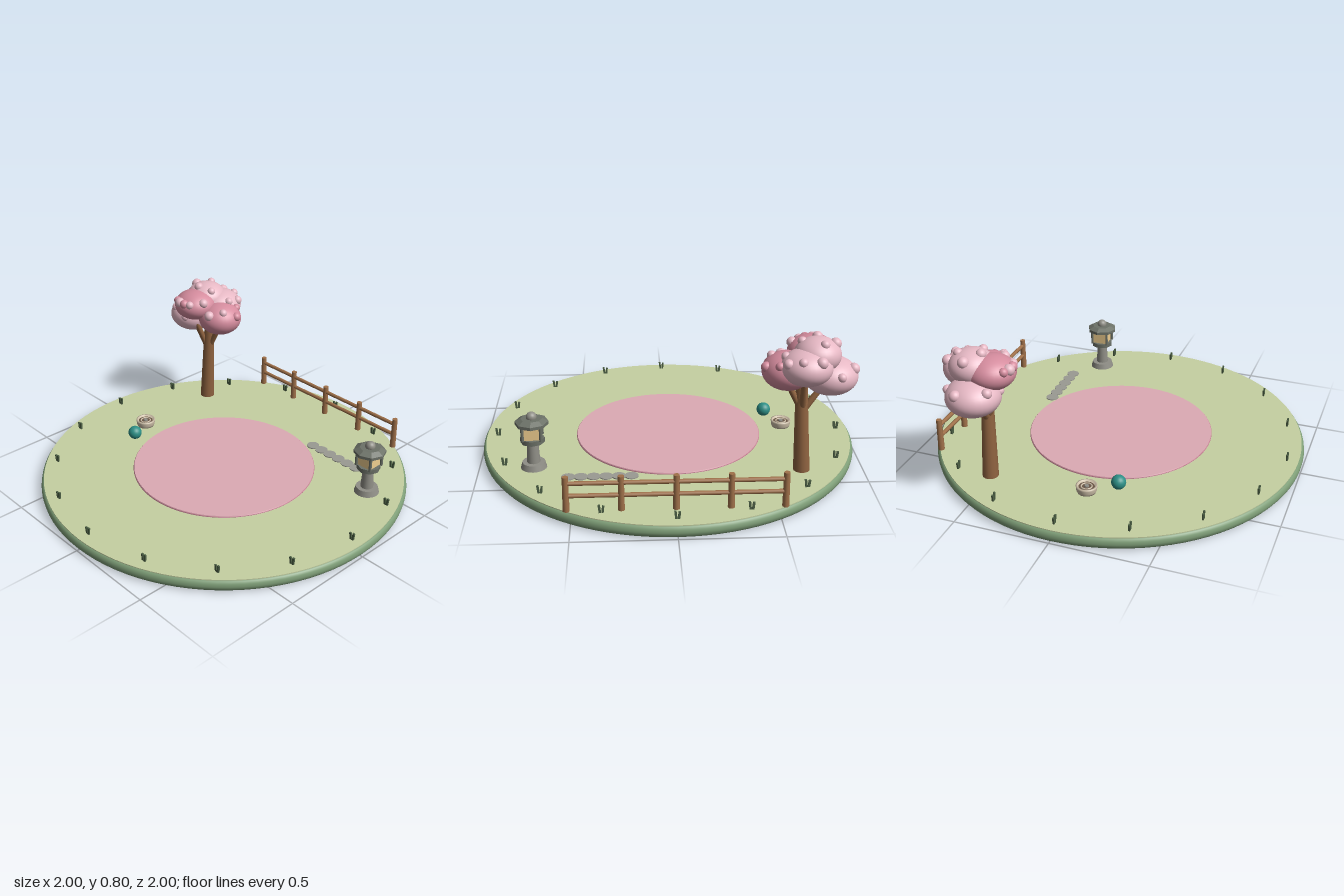
import * as THREE from 'three';

const C = {
  rim: 0x7f9f78, grass: 0xc6d0a2, pink: 0xdcaab4, pinkEdge: 0xc98797, wood: 0xa0714a, bark: 0x8f6340,
  blossomLight: 0xe6b8c4, blossomDark: 0xd58c9e, stone: 0x8f8e86, roof: 0x6d7268, glow: 0xf0cf90,
  tuft: 0x4f6347, teal: 0x2c8f86, cream: 0xcdbfa8, brown: 0x6b5646, path: 0x9a9a92,
};
const TOP = 0.066;
const mats = {};
const mat = (name) => (mats[name] ??= new THREE.MeshStandardMaterial({ color: C[name] }));

function add(parent, name, geo, color, x = 0, y = 0, z = 0) {
  const m = new THREE.Mesh(geo, mat(color));
  m.name = name;
  m.position.set(x, y, z);
  parent.add(m);
  return m;
}
function group(parent, name, x = 0, y = 0, z = 0) {
  const g = new THREE.Group();
  g.name = name;
  g.position.set(x, y, z);
  parent.add(g);
  return g;
}
const cyl = (rTop, rBottom, h, n = 24) => new THREE.CylinderGeometry(rTop, rBottom, h, n);
const ball = (r) => new THREE.SphereGeometry(r, 20, 14);

// Tapered limb between two points
function limb(parent, name, a, b, rA, rB, color) {
  const from = new THREE.Vector3(...a), to = new THREE.Vector3(...b);
  const dir = to.clone().sub(from);
  const m = add(parent, name, cyl(rB, rA, dir.length(), 14), color);
  m.position.copy(from).add(to).multiplyScalar(0.5);
  m.quaternion.setFromUnitVectors(new THREE.Vector3(0, 1, 0), dir.normalize());
  return m;
}

function buildGround(root) {
  const g = group(root, 'ground');
  // Rounded slab
  const pts = [[0, 0], [0.975, 0], [0.988, 0.006], [0.997, 0.018], [1, 0.033],
    [0.997, 0.048], [0.99, 0.059], [0.98, 0.064], [0, 0.064]];
  add(g, 'slab', new THREE.LatheGeometry(pts.map((p) => new THREE.Vector2(...p)), 96), 'rim');
  add(g, 'lawn', cyl(0.985, 0.985, 0.01, 96), 'grass', 0, TOP - 0.005, 0);
  add(g, 'petalClearing', cyl(0.495, 0.5, 0.012, 80), 'pink', 0, 0.069, 0);
  const edge = add(g, 'clearingEdge', new THREE.TorusGeometry(0.493, 0.006, 8, 80), 'pinkEdge', 0, 0.0685, 0);
  edge.rotation.x = Math.PI / 2;
}

function buildFence(root) {
  const g = group(root, 'fence', 0, 0, -0.83);
  for (let i = -2; i <= 2; i++) {
    add(g, 'fencePost', cyl(0.015, 0.017, 0.18, 10), 'wood', i * 0.259, 0.155, 0);
  }
  for (const y of [0.145, 0.21]) {
    const rail = add(g, 'fenceRail', cyl(0.011, 0.011, 1.05, 10), 'wood', 0, y, 0);
    rail.rotation.z = Math.PI / 2;
  }
}

function buildTree(root) {
  const g = group(root, 'tree');
  limb(g, 'trunk', [-0.655, 0.06, -0.47], [-0.63, 0.58, -0.47], 0.042, 0.028, 'bark');
  for (const end of [[-0.745, 0.53, -0.46], [-0.555, 0.56, -0.48], [-0.67, 0.58, -0.4], [-0.63, 0.58, -0.55]]) {
    limb(g, 'branch', [-0.642, 0.39, -0.47], end, 0.018, 0.014, 'bark');
  }
  // Crown clouds: centre, horizontal radius, vertical radius, colour, blossom angles [azimuth, elevation]
  const crown = [
    [-0.77, 0.583, -0.47, 0.137, 0.095, 'blossomLight', [[65, 15], [115, 35], [200, 30], [255, 20]]],
    [-0.555, 0.617, -0.485, 0.125, 0.095, 'blossomDark', [[30, 45], [345, 20], [80, 30], [300, 35]]],
    [-0.685, 0.685, -0.41, 0.122, 0.085, 'blossomDark', [[60, 25], [80, 25], [100, 25], [120, 25], [15, 30]]],
    [-0.635, 0.66, -0.555, 0.128, 0.09, 'blossomLight', [[290, 40], [330, 25], [235, 35], [10, 35]]],
    [-0.695, 0.705, -0.505, 0.115, 0.088, 'blossomLight', [[20, 45], [95, 60], [180, 40], [250, 55]]],
  ];
  crown.forEach(([x, y, z, r, ry, color, spots]) => {
    const cloud = add(g, 'blossomCloud', new THREE.SphereGeometry(1, 32, 22), color, x, y, z);
    cloud.scale.set(r, ry, r);
    spots.forEach(([az, el], i) => {
      const a = THREE.MathUtils.degToRad(az), e = THREE.MathUtils.degToRad(el);
      add(g, 'blossom', ball(0.023 + 0.003 * (i % 3)), i % 2 ? color : 'blossomLight',
        x + r * 0.95 * Math.cos(e) * Math.cos(a), y + ry * 0.95 * Math.sin(e), z + r * 0.95 * Math.cos(e) * Math.sin(a));
    });
  });
}

function buildLantern(root) {
  const g = group(root, 'lantern', 0.703, 0, -0.378);
  add(g, 'lanternBase', cyl(0.058, 0.067, 0.032, 20), 'stone', 0, 0.081, 0);
  add(g, 'lanternColumn', cyl(0.028, 0.034, 0.12, 20), 'stone', 0, 0.153, 0);
  add(g, 'lanternPlatform', cyl(0.062, 0.062, 0.024, 8), 'roof', 0, 0.221, 0);
  add(g, 'lanternLight', new THREE.BoxGeometry(0.082, 0.075, 0.082), 'glow', 0, 0.27, 0);
  for (const x of [-1, 1]) for (const z of [-1, 1]) {
    add(g, 'lanternPost', cyl(0.008, 0.008, 0.08, 8), 'roof', x * 0.046, 0.27, z * 0.046);
  }
  const flat = new THREE.MeshStandardMaterial({ color: C.roof, flatShading: true });
  add(g, 'lanternEaves', cyl(0.085, 0.085, 0.016, 8), 'roof', 0, 0.315, 0).material = flat;
  add(g, 'lanternRoof', cyl(0.055, 0.085, 0.016, 8), 'roof', 0, 0.331, 0).material = flat;
  add(g, 'lanternFinial', ball(0.027), 'stone', 0, 0.346, 0);
}

function buildTufts(root) {
  const g = group(root, 'grassTufts');
  for (let i = 0; i < 16; i++) {
    const a = (i * Math.PI) / 8;
    const tuft = group(g, 'grassTuft', 0.925 * Math.cos(a), TOP + 0.018, 0.925 * Math.sin(a));
    for (const s of [-1, 1]) {
      const blade = add(tuft, 'grassBlade', new THREE.BoxGeometry(0.011, 0.042, 0.009), 'tuft', s * 0.008, s * 0.002, 0);
      blade.rotation.z = -s * 0.12;
    }
  }
}

function buildSmallThings(root) {
  // Row of overlapping flat stones
  const path = group(root, 'stonePath');
  for (let i = 0; i < 6; i++) {
    add(path, 'pathStone', cyl(0.035, 0.035, 0.008, 18), 'path', 0.207 + i * 0.0635, TOP + 0.001, -0.502);
  }
  // Round bowl with ringed filling
  const bowl = group(root, 'bowl', -0.627, TOP, 0.046);
  const profile = [[0, 0], [0.047, 0], [0.052, 0.012], [0.054, 0.03], [0.054, 0.039], [0.046, 0.039], [0.04, 0.028], [0, 0.028]];
  add(bowl, 'bowlBody', new THREE.LatheGeometry(profile.map((p) => new THREE.Vector2(...p)), 32), 'cream');
  add(bowl, 'bowlFilling', cyl(0.041, 0.041, 0.004, 28), 'brown', 0, 0.028, 0);
  const ring = add(bowl, 'bowlRing', new THREE.TorusGeometry(0.027, 0.004, 8, 28), 'cream', 0, 0.031, 0);
  ring.rotation.x = Math.PI / 2;
  add(bowl, 'bowlCentre', cyl(0.011, 0.013, 0.008, 12), 'stone', 0, 0.033, 0);
  add(root, 'ball', ball(0.038), 'teal', -0.55, 0.105, 0.187);
}

export function createModel() {
  const root = new THREE.Group();
  root.name = 'blossomGarden';
  [buildGround, buildFence, buildTree, buildLantern, buildTufts, buildSmallThings].forEach((build) => build(root));
  return root;
}
